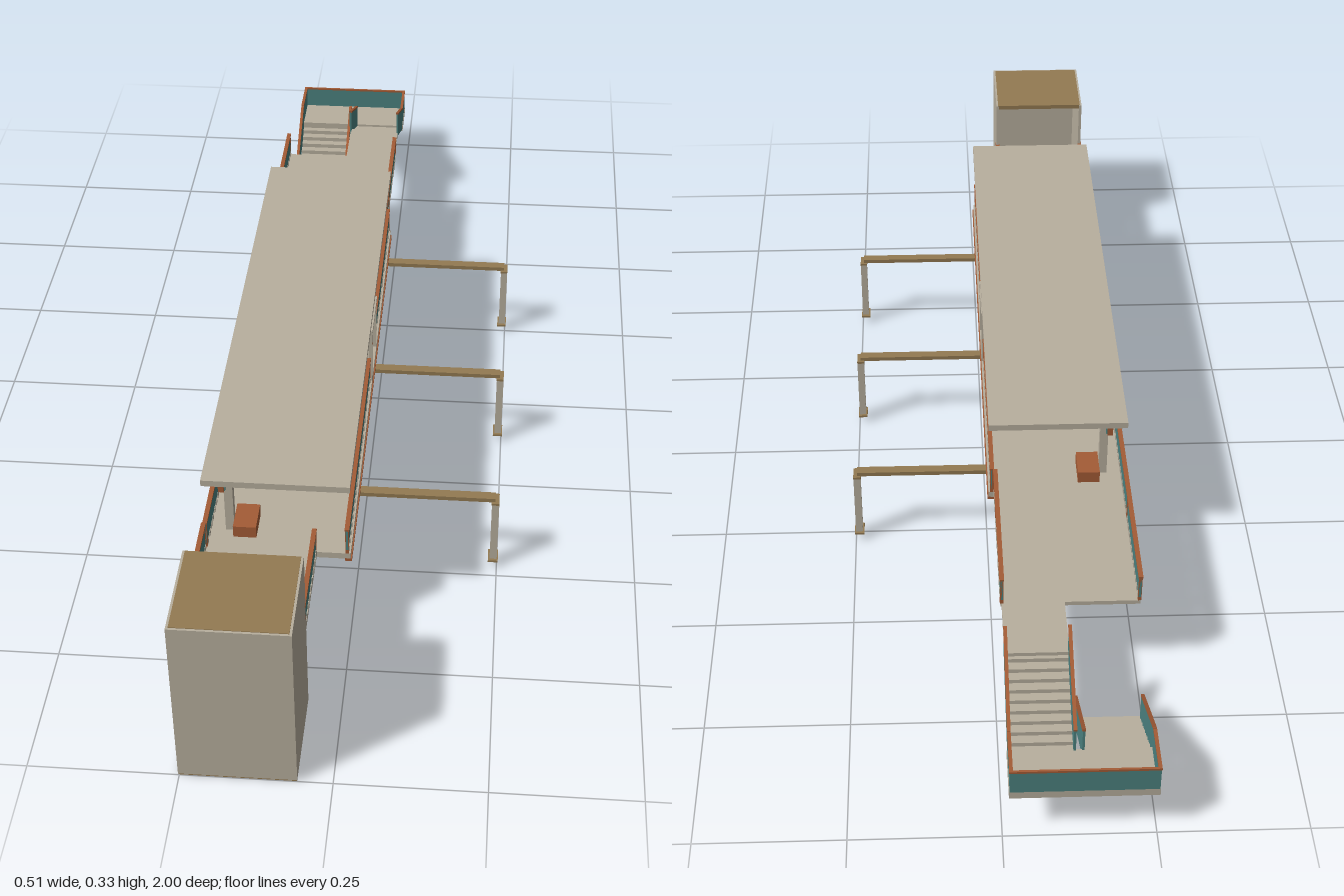
import * as THREE from 'three';

const mat = (name, color, extra = {}) => {
  const m = new THREE.MeshStandardMaterial({ color, ...extra });
  m.name = name;
  return m;
};

export function createModel() {
  const concrete = mat('concrete', 0xb8af9e);
  const glass = mat('teal panel', 0x4c8280);
  const bronze = mat('bronze', 0x937a52);
  const wood = mat('red wood', 0xa45c36);
  const root = new THREE.Group();
  root.name = 'elevatedPlatform';

  // Box given by its extents on each axis
  const box = (name, m, x0, x1, y0, y1, z0, z1, parent = root) => {
    const mesh = new THREE.Mesh(new THREE.BoxGeometry(x1 - x0, y1 - y0, z1 - z0), m);
    mesh.position.set((x0 + x1) / 2, (y0 + y1) / 2, (z0 + z1) / 2);
    mesh.name = name;
    parent.add(mesh);
    return mesh;
  };
  // Side profile of [z, y] points, extruded from x0 to x1
  const profile = (name, m, pts, x0, x1) => {
    const shape = new THREE.Shape(pts.map(([z, y]) => new THREE.Vector2(z, y)));
    const g = new THREE.ExtrudeGeometry(shape, { depth: x1 - x0, bevelEnabled: false });
    g.rotateY(-Math.PI / 2).translate(x1, 0, 0);
    const mesh = new THREE.Mesh(g, m);
    mesh.name = name;
    root.add(mesh);
  };
  const group = (name) => {
    const g = new THREE.Group();
    g.name = name;
    root.add(g);
    return g;
  };

  // Lift tower, open towards the walkway
  const tower = group('tower');
  box('towerFrontWall', concrete, -0.252, -0.058, 0.003, 0.33, 0.994, 1, tower);
  box('towerRightWall', concrete, -0.252, -0.246, 0.003, 0.33, 0.825, 0.994, tower);
  box('towerLeftWall', concrete, -0.064, -0.058, 0.003, 0.33, 0.825, 0.994, tower);
  box('towerRoof', bronze, -0.248, -0.062, 0.322, 0.331, 0.826, 0.996, tower);
  box('towerFloor', bronze, -0.251, -0.059, 0, 0.006, 0.826, 0.999, tower);

  // Walkway slabs
  box('mainSlab', concrete, -0.25, 0, 0.165, 0.177, -0.35, 0.65);
  box('frontSlab', concrete, -0.252, -0.058, 0.169, 0.177, 0.65, 0.84);
  box('backSlab', concrete, -0.25, -0.01, 0.169, 0.177, -0.645, -0.35);
  box('stairBridge', concrete, -0.12, -0.012, 0.17, 0.177, -0.765, -0.645);
  box('slabTrim', wood, -0.01, 0.002, 0.16, 0.166, -0.35, 0.65);
  box('slabTrim', wood, -0.252, -0.24, 0.16, 0.166, -0.35, 0.65);

  // Balustrade along z: teal panel, top rail, end posts and small feet
  const balustrade = (x, z0, z1) => {
    const g = group('balustrade');
    box('panel', glass, x - 0.002, x + 0.002, 0.185, 0.227, z0, z1, g);
    box('topRail', wood, x - 0.004, x + 0.004, 0.227, 0.231, z0, z1, g);
    for (const z of [z0 + 0.002, z1 - 0.002])
      box('endPost', wood, x - 0.003, x + 0.003, 0.177, 0.228, z - 0.002, z + 0.002, g);
    const n = Math.max(2, Math.round((z1 - z0) / 0.02));
    for (let i = 0; i < n; i++) {
      const z = z0 + (z1 - z0) * (i + 0.5) / n;
      box('foot', concrete, x - 0.003, x + 0.003, 0.176, 0.187, z - 0.005, z + 0.005, g);
    }
  };
  balustrade(-0.248, -0.645, -0.43);
  balustrade(-0.248, -0.43, 0.65);
  balustrade(-0.25, 0.65, 0.835);
  balustrade(-0.061, 0.65, 0.835);
  balustrade(-0.006, 0.17, 0.65);
  balustrade(-0.006, -0.35, 0.055);
  balustrade(-0.012, -0.43, -0.35);
  balustrade(-0.012, -0.645, -0.43);

  // Gate frame in the side opening
  const gate = group('gateFrame');
  for (const z of [0.055, 0.163]) box('gatePost', concrete, -0.007, 0, 0.176, 0.288, z, z + 0.007, gate);
  box('gateLintel', concrete, -0.007, 0.001, 0.286, 0.293, 0.055, 0.17, gate);

  // Canopy with wooden ceiling, posts, benches and lamps
  box('canopyRoof', concrete, -0.25, 0, 0.315, 0.327, -0.345, 0.652);
  box('canopyCeiling', wood, -0.24, -0.02, 0.309, 0.3155, -0.335, 0.642);
  for (const z of [0.597, -0.293]) {
    box('canopyPost', concrete, -0.22, -0.205, 0.176, 0.312, z - 0.008, z + 0.008);
    box('canopyArm', bronze, -0.24, -0.03, 0.305, 0.312, z - 0.006, z + 0.006);
    box('bench', wood, -0.205, -0.165, 0.177, 0.2, z - 0.035, z + 0.025);
  }
  for (const z of [0.61, 0.335, 0.02, -0.305]) {
    box('lampBox', wood, -0.227, -0.217, 0.275, 0.291, z - 0.01, z + 0.01);
    box('lampFace', glass, -0.217, -0.215, 0.277, 0.289, z - 0.008, z + 0.008);
  }

  // Outrigger beams and columns
  for (const z of [0.465, 0.105, -0.26]) {
    const g = group('supportFrame');
    box('beam', bronze, -0.25, 0.243, 0.153, 0.161, z - 0.009, z + 0.009, g);
    for (const s of [-1, 1])
      box('columnFlange', concrete, 0.237, 0.25, 0.017, 0.153, z + s * 0.008 - 0.002, z + s * 0.008 + 0.002, g);
    box('columnWeb', concrete, 0.242, 0.245, 0.017, 0.153, z - 0.007, z + 0.007, g);
    box('columnCap', bronze, 0.236, 0.25, 0.15, 0.154, z - 0.014, z + 0.014, g);
    box('columnBase', bronze, 0.234, 0.252, 0.014, 0.018, z - 0.015, z + 0.015, g);
  }

  // Low wall with a small bench beneath the platform
  box('groundWall', concrete, -0.221, -0.216, 0.018, 0.105, 0.21, 0.47);
  box('groundBench', bronze, -0.216, -0.19, 0.018, 0.046, 0.345, 0.42);

  // Stair flight from (z0, y0) down to (z1, y1), with a sloped soffit and side panels
  const flight = (x0, x1, z0, y0, z1, y1) => {
    const n = 10, dz = (z1 - z0) / n, dy = (y1 - y0) / n;
    const pts = [[z0, y0]];
    for (let i = 0; i < n; i++) {
      pts.push([z0 + dz * i, y0 + dy * (i + 1)], [z0 + dz * (i + 1), y0 + dy * (i + 1)]);
    }
    pts.push([z1, y1 - 0.008], [z0, y0 - 0.012]);
    profile('stairSteps', concrete, pts, x0 + 0.004, x1 - 0.004);
    for (const x of [x0, x1 - 0.004]) {
      const band = (a, b) => [[z0, y0 + a], [z1, y1 + a], [z1, y1 + b], [z0, y0 + b]];
      profile('stairPanel', glass, band(-0.006, 0.049), x, x + 0.004);
      profile('stairRail', wood, band(0.049, 0.053), x - 0.001, x + 0.005);
    }
  };
  flight(-0.122, -0.011, -0.755, 0.177, -0.915, 0.099);
  flight(-0.25, -0.132, -0.915, 0.099, -0.755, 0.01);

  // Landing with panels on its three outer sides
  box('landing', concrete, -0.251, -0.01, 0.09, 0.104, -1, -0.912);
  const wall = (x0, x1, z0, z1) => {
    box('landingPanel', glass, x0, x1, 0.104, 0.147, z0, z1);
    box('landingRail', wood, x0 - 0.001, x1 + 0.001, 0.147, 0.151, z0, z1);
  };
  wall(-0.25, -0.246, -0.996, -0.912);
  wall(-0.015, -0.011, -0.996, -0.912);
  wall(-0.25, -0.011, -1, -0.996);

  return root;
}
